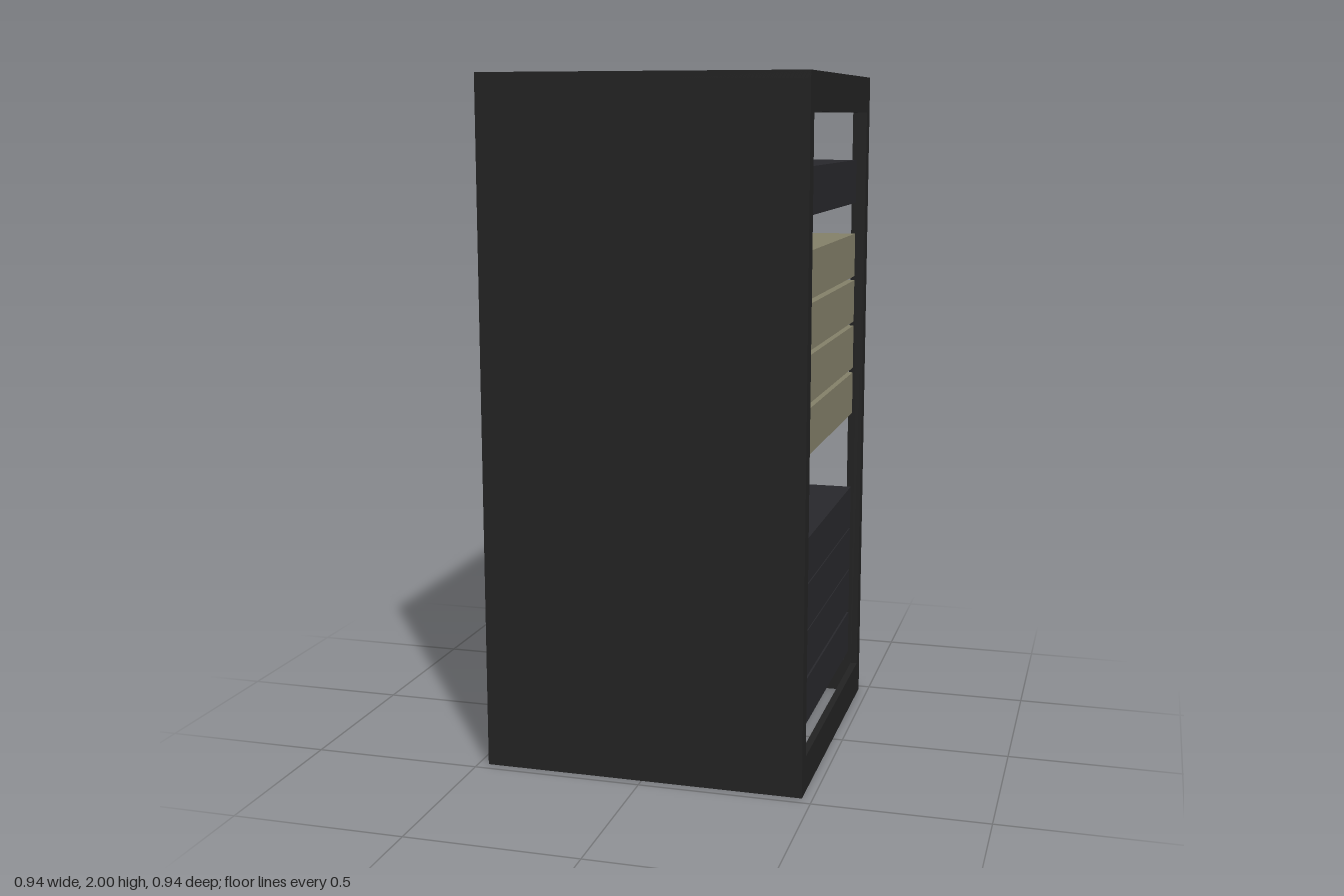
import * as THREE from 'three';

const W = 0.94, H = 2, T = 0.02;      // cabinet width, height, sheet thickness
const black = new THREE.MeshStandardMaterial({ color: 0x222222 });
const dark = new THREE.MeshStandardMaterial({ color: 0x27272b });
const tan = new THREE.MeshStandardMaterial({ color: 0x837f68 });

function rect(Kind, x0, y0, x1, y1) {
  return new Kind([[x0, y0], [x1, y0], [x1, y1], [x0, y1]].map(p => new THREE.Vector2(...p)));
}

function box(name, material, w, h, d, x, y, z) {
  const mesh = new THREE.Mesh(new THREE.BoxGeometry(w, h, d), material);
  mesh.name = name;
  mesh.position.set(x, y, z);
  return mesh;
}

// Rectangular plate with a rectangular window, extruded along +z
function windowPlate(name, material, outer, inner, depth) {
  const shape = rect(THREE.Shape, ...outer);
  shape.holes.push(rect(THREE.Path, ...inner));
  const mesh = new THREE.Mesh(new THREE.ExtrudeGeometry(shape, { depth, bevelEnabled: false }), material);
  mesh.name = name;
  return mesh;
}

// Rack unit; some have a rear pocket holding an inset module
function rackUnit(y0, y1, material, pocket) {
  const unit = new THREE.Group();
  unit.name = 'rackUnit';
  const hx = 0.435, hz = 0.449, h = y1 - y0, y = (y0 + y1) / 2;
  const depth = pocket ? 0.1 : 0;
  unit.add(box('unitBody', material, 2 * hx, h, 2 * hz - depth, 0, y, depth / 2));
  if (pocket) {
    const bezel = windowPlate('rearBezel', material,
      [-hx, y0, hx, y1], [-0.355, y0 + 0.017, 0.355, y1 - 0.017], depth);
    bezel.position.z = -hz;
    unit.add(bezel);
    unit.add(box('rearModule', material, 0.6, h - 0.05, depth, 0, y, -hz + depth / 2 + 0.002));
  }
  return unit;
}

export function createModel() {
  const model = new THREE.Group();
  model.name = 'equipmentRack';

  // Cabinet: closed front and top, open bottom, windows on the other sides
  model.add(box('frontPanel', black, W, H, T, 0, H / 2, W / 2 - T / 2));
  model.add(box('topPanel', black, W, T, W, 0, H - T / 2, 0));
  ['leftFrame', 'backFrame', 'rightFrame'].forEach((name, i) => {
    const frame = new THREE.Group();
    const plate = windowPlate(name, black, [-W / 2, 0, W / 2, H], [-0.422, 0.105, 0.422, 1.893], T);
    plate.position.z = W / 2 - T;
    frame.add(plate);
    frame.rotation.y = (i + 1) * Math.PI / 2;
    model.add(frame);
  });

  // Rack units from bottom to top: [bottom, top, material, has pocket]
  [
    [0.135, 0.270, dark, false],
    [0.280, 0.415, dark, true],
    [0.420, 0.555, dark, true],
    [0.560, 0.693, dark, true],
    [0.937, 1.070, tan, true],
    [1.085, 1.222, tan, true],
    [1.235, 1.367, tan, false],
    [1.380, 1.515, tan, false],
    [1.612, 1.746, dark, true],
  ].forEach(u => model.add(rackUnit(...u)));

  return model;
}
